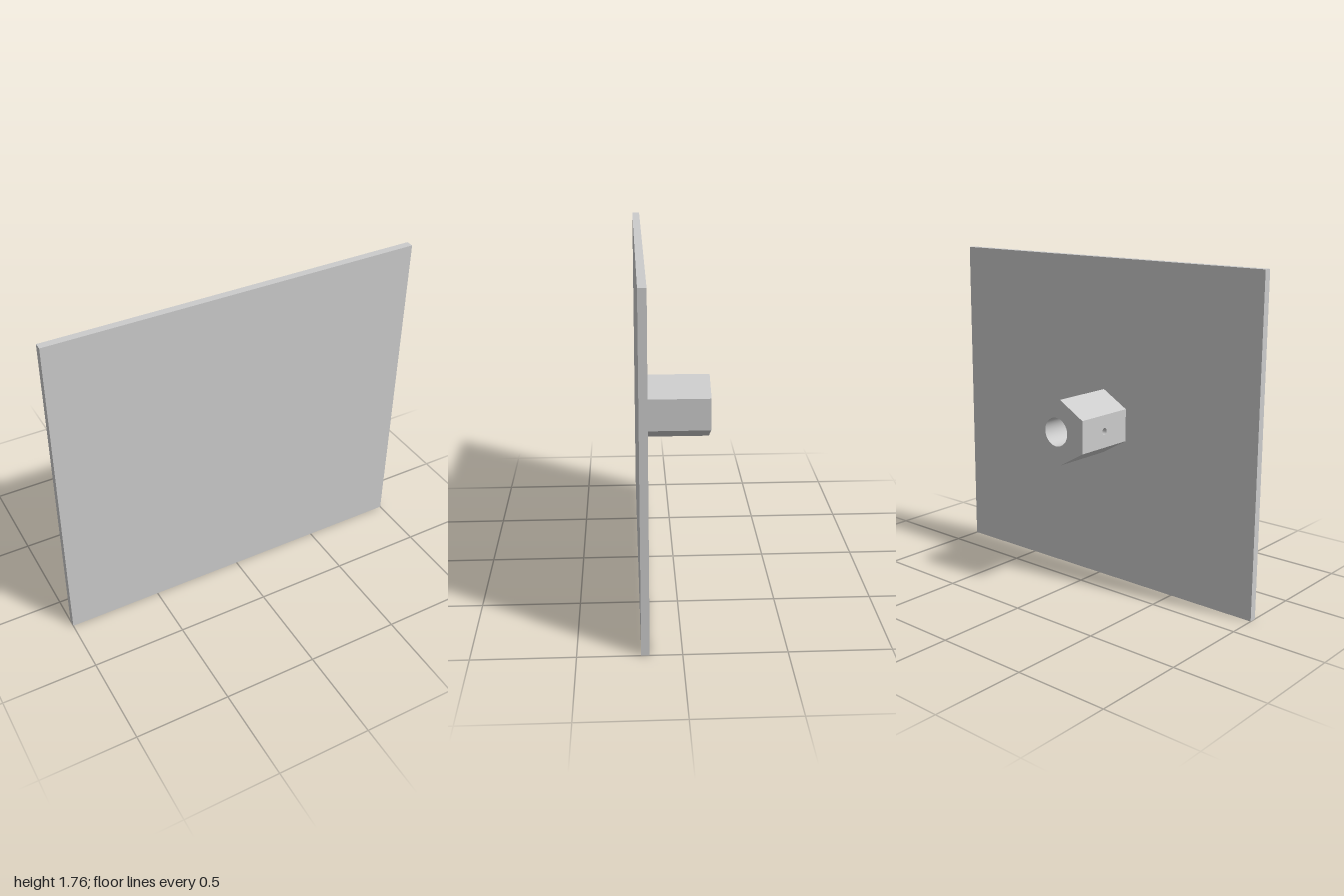
import * as THREE from 'three';
import { mergeGeometries } from 'three/addons/utils/BufferGeometryUtils.js';

const W = 2, H = 1.765, T = 0.04, FRONT = 0.196;  // plate
const R = 0.176, APOTHEM = R * Math.sqrt(3) / 2;   // hexagonal boss
const Z0 = -FRONT, Z1 = FRONT - T, LEN = Z1 - Z0;
const OFFSET = -0.028;                             // boss axis, sideways from the bore
const BORE = 0.077, PIN = 0.018, SLIT = Math.PI / 12;

const circle = (x, y, r) => new THREE.Path().absarc(x, y, r, 0, Math.PI * 2, true);

function rectangle(w, h, holeRadius) {
  const s = new THREE.Shape([[-1, -1], [1, -1], [1, 1], [-1, 1]]
    .map(([x, y]) => new THREE.Vector2(x * w / 2, y * h / 2)));
  if (holeRadius) s.holes.push(circle(0, 0, holeRadius));
  return new THREE.ShapeGeometry(s, 24);
}

// Six sides and the bored end face; the side at -x carries the pin hole
function hexShell() {
  const parts = [];
  for (let k = 0; k < 6; k++) {
    parts.push(rectangle(LEN, R, k === 3 ? PIN : 0)
      .rotateY(Math.PI / 2).translate(APOTHEM, 0, 0).rotateZ(k * Math.PI / 3));
  }
  const corners = Array.from({ length: 6 }, (_, k) => {
    const a = Math.PI / 6 + k * Math.PI / 3;
    return new THREE.Vector2(R * Math.cos(a), R * Math.sin(a));
  });
  const end = new THREE.Shape(corners);
  end.holes.push(circle(OFFSET, 0, BORE));
  parts.push(new THREE.ShapeGeometry(end, 24).rotateY(Math.PI).translate(0, 0, -LEN / 2));
  return mergeGeometries(parts).translate(OFFSET, 0, 0);
}

// Strip of bore wall around the pin hole, bent to the bore's curve
function boreStrip() {
  const g = rectangle(2 * SLIT * BORE, LEN, PIN);
  const p = g.attributes.position, n = g.attributes.normal;
  for (let i = 0; i < p.count; i++) {
    const a = p.getX(i) / BORE, c = Math.cos(a), s = Math.sin(a);
    p.setXYZ(i, -BORE * c, BORE * s, p.getY(i));
    n.setXYZ(i, c, -s, 0);
  }
  return g;
}

// Side hole whose inner end follows the bore
function pinHole() {
  const g = new THREE.CylinderGeometry(PIN, PIN, 1, 24, 1, true).rotateZ(Math.PI / 2);
  const p = g.attributes.position;
  for (let i = 0; i < p.count; i++) {
    p.setX(i, p.getX(i) < 0 ? OFFSET - APOTHEM : -Math.sqrt(BORE ** 2 - p.getY(i) ** 2));
  }
  return g;
}

export function createModel() {
  const model = new THREE.Group();
  const solid = new THREE.MeshStandardMaterial({ color: 0xcccccc });
  const open = new THREE.MeshStandardMaterial({ color: 0xcccccc, side: THREE.DoubleSide });
  const add = (parent, name, geometry, material) => {
    const mesh = new THREE.Mesh(geometry, material);
    mesh.name = name;
    parent.add(mesh);
    return mesh;
  };

  add(model, 'plate', new THREE.BoxGeometry(W, H, T), solid).position.set(0, H / 2, FRONT - T / 2);

  const boss = new THREE.Group();
  boss.name = 'hexBoss';
  boss.position.set(0, 0.885, (Z0 + Z1) / 2);
  model.add(boss);
  add(boss, 'hexShell', hexShell(), solid);
  const wall = new THREE.CylinderGeometry(BORE, BORE, LEN, 44, 1, true,
    Math.PI * 1.5 + SLIT, Math.PI * 2 - 2 * SLIT).rotateX(Math.PI / 2);
  add(boss, 'boreWall', wall, open);
  add(boss, 'boreStrip', boreStrip(), open);
  add(boss, 'pinHole', pinHole(), open);
  return model;
}
